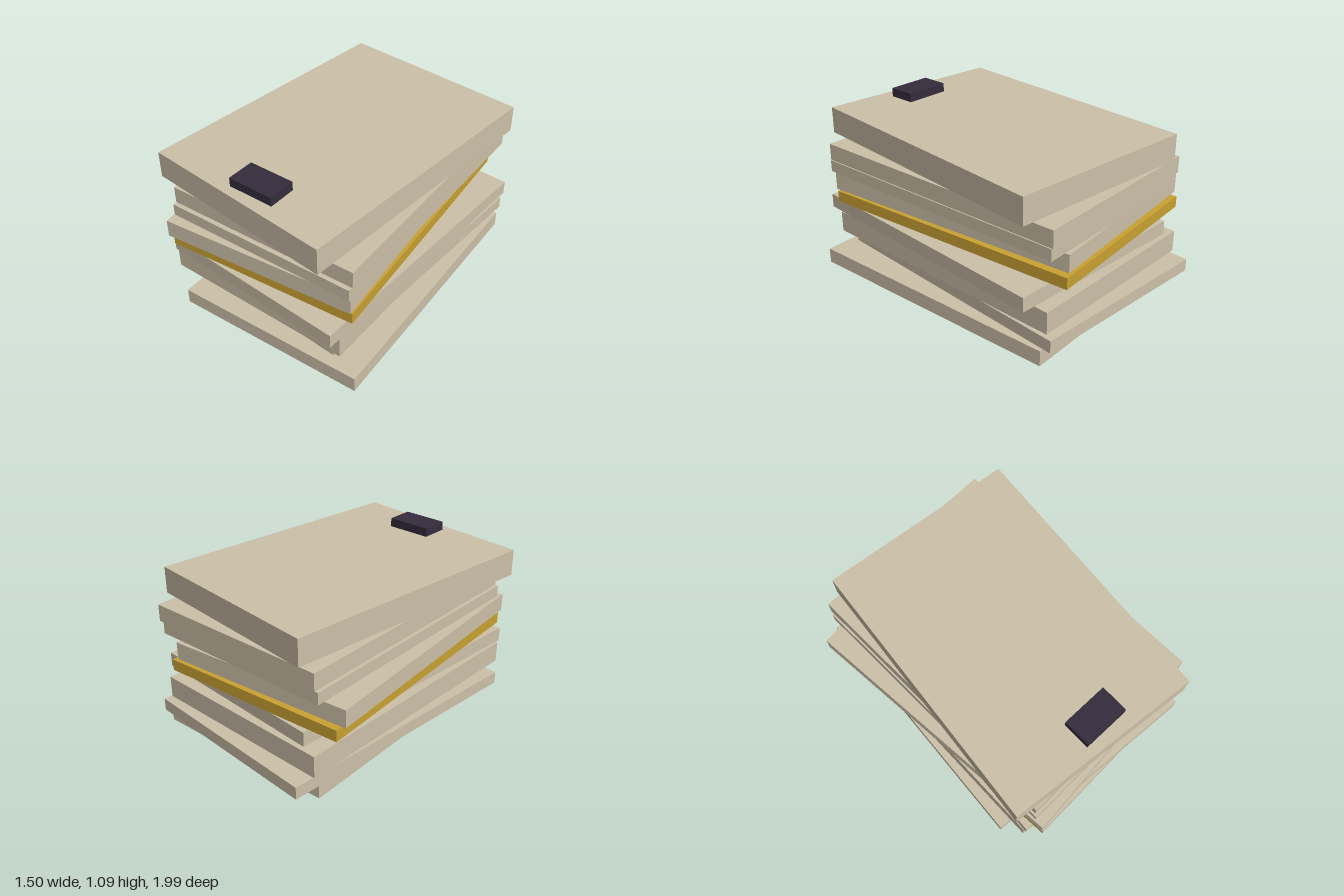
import * as THREE from 'three';

const WIDTH = 1.255, DEPTH = 1.777;

export function createModel() {
  const model = new THREE.Group();
  const cream = new THREE.MeshStandardMaterial({ color: 0xcdc1a9 });
  cream.name = 'cream';
  const gold = new THREE.MeshStandardMaterial({ color: 0xcaa232 });
  gold.name = 'gold';
  const darkPlum = new THREE.MeshStandardMaterial({ color: 0x352c3c });
  darkPlum.name = 'darkPlum';

  // A box standing between two heights, turned about its upright axis
  function addBox(name, material, w, d, y0, y1, x, z, degrees = 0) {
    const mesh = new THREE.Mesh(new THREE.BoxGeometry(w, y1 - y0, d), material);
    mesh.name = name;
    mesh.position.set(x, (y0 + y1) / 2, z);
    mesh.rotation.y = THREE.MathUtils.degToRad(degrees);
    model.add(mesh);
  }

  // Loose stack of equal slabs, bottom to top: y0, y1, x, z, turn
  const slabs = [
    [0, 0.1, 0.085, 0.055, 2.4],
    [0.11, 0.19, -0.018, -0.072, -3.5],
    [0.2, 0.34, 0.01, 0.012, -0.15],
    [0.35, 0.442, 0.059, 0.065, -3.26],
    [0.452, 0.525, -0.018, 0.02, 4.9],
    [0.535, 0.648, -0.036, 0.045, 5.88],
    [0.657, 0.733, 0.034, 0.021, 1.84],
    [0.745, 0.853, 0.043, 0.003, 1.84],
    [0.861, 1.031, 0.023, 0.055, -5.2],
  ];
  slabs.forEach(([y0, y1, x, z, turn], i) => {
    const isGold = i === 4;
    addBox(isGold ? 'goldSlab' : `slab${i + 1}`, isGold ? gold : cream, WIDTH, DEPTH, y0, y1, x, z, turn);
  });

  // Small block resting near the front edge of the top slab
  addBox('topBlock', darkPlum, 0.297, 0.178, 1.031, 1.088, 0.015, 0.782);

  return model;
}
